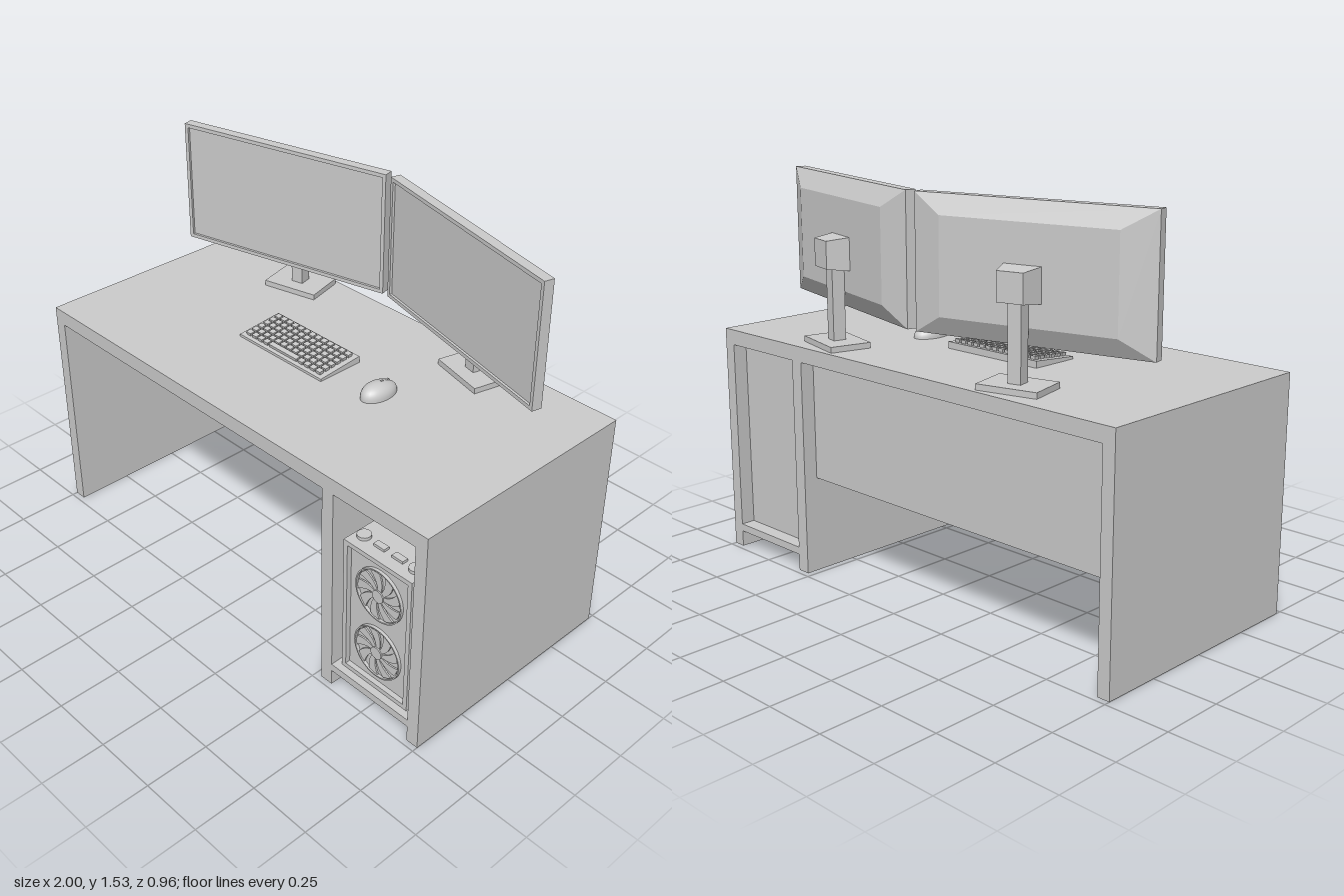
import * as THREE from 'three';

const material = new THREE.MeshStandardMaterial({ color: 0xcccccc, side: THREE.DoubleSide });

function add(parent, name, geometry, x = 0, y = 0, z = 0) {
  const mesh = new THREE.Mesh(geometry, material);
  mesh.name = name;
  mesh.position.set(x, y, z);
  parent.add(mesh);
  return mesh;
}

function group(parent, name, x = 0, y = 0, z = 0) {
  const g = new THREE.Group();
  g.name = name;
  g.position.set(x, y, z);
  parent.add(g);
  return g;
}

const box = (w, h, d) => new THREE.BoxGeometry(w, h, d);
const outline = (points) => points.map(([x, y]) => new THREE.Vector2(x, y));
const rect = (w, h) => outline([[-w / 2, -h / 2], [w / 2, -h / 2], [w / 2, h / 2], [-w / 2, h / 2]]);
const extrude = (shape, depth) => new THREE.ExtrudeGeometry(shape, { depth, bevelEnabled: false, curveSegments: 6 });

// Rectangular frame, from z = 0 forward
function frame(w, h, border, depth) {
  const shape = new THREE.Shape(rect(w, h));
  shape.holes.push(new THREE.Path(rect(w - 2 * border, h - 2 * border)));
  return extrude(shape, depth);
}

// Box whose rear face is smaller than its front face
function taperedBox(w, h, d, rearW, rearH) {
  const geo = box(w, h, d);
  const p = geo.attributes.position;
  for (let i = 0; i < p.count; i++) {
    if (p.getZ(i) < 0) p.setXY(i, p.getX(i) * rearW / w, p.getY(i) * rearH / h);
  }
  geo.computeVertexNormals();
  return geo;
}

function buildDesk(parent) {
  const desk = group(parent, 'desk');
  // Top, legs and cabinet shelf share one front outline
  const shape = new THREE.Shape(outline([
    [-1, 0], [-0.95, 0], [-0.95, 0.85], [0.525, 0.85], [0.525, 0], [0.578, 0],
    [0.578, 0.065], [0.95, 0.065], [0.95, 0], [1, 0], [1, 0.91], [-1, 0.91],
  ]));
  shape.holes.push(new THREE.Path(outline([[0.578, 0.095], [0.95, 0.095], [0.95, 0.85], [0.578, 0.85]])));
  add(desk, 'deskFrame', extrude(shape, 0.956), 0, 0, -0.478);
  add(desk, 'modestyPanel', box(1.475, 0.47, 0.03), -0.2125, 0.615, -0.405);
  add(desk, 'cabinetBack', box(0.372, 0.755, 0.03), 0.764, 0.4725, -0.405);
}

function buildMonitor(parent, name, x, side) {
  const monitor = group(parent, name, x, 0, -0.25);
  monitor.rotation.y = -side * 0.245;
  const w = 0.912, h = 0.49, y = 1.29, standX = -side * 0.013, standZ = -0.104;
  add(monitor, 'bezel', frame(w, h, 0.015, 0.01), 0, y, -0.01);
  add(monitor, 'screenHousing', box(w, h, 0.03), 0, y, -0.025);
  add(monitor, 'rearCover', taperedBox(w, h, 0.038, w - 0.24, h - 0.14), 0, y, -0.059);
  add(monitor, 'mount', taperedBox(0.145, 0.125, 0.085, 0.1, 0.105), standX, 1.262, -0.1195);
  add(monitor, 'standPole', box(0.05, 0.29, 0.05), standX, 1.07, standZ);
  add(monitor, 'standBase', box(0.233, 0.022, 0.163), standX, 0.921, standZ);
}

function buildKeyboard(parent) {
  const keyboard = group(parent, 'keyboard', -0.107, 0.91, -0.003);
  // Wedge body, taller at the rear
  const side = new THREE.Shape(outline([[-0.098, 0], [0.098, 0], [0.098, 0.026], [-0.098, 0.01]]));
  const body = extrude(side, 0.446).translate(0, 0, -0.223).rotateY(Math.PI / 2);
  add(keyboard, 'keyboardBody', body);
  const keys = group(keyboard, 'keys', 0, 0.018, 0);
  keys.rotation.x = Math.atan(0.016 / 0.196);
  const pitchX = 0.0318, pitchZ = 0.029;
  for (let row = 0; row < 6; row++) {
    for (let col = 0; col < 13; col++) {
      const spaceRow = row === 5;
      if (spaceRow && col > 3 && col < 9) continue;
      add(keys, 'key', taperedKey(0.025), (col - 6) * pitchX, 0.006, (row - 2.5) * pitchZ);
    }
  }
  add(keys, 'spaceBar', taperedKey(0.152), 0, 0.006, 2.5 * pitchZ);
}

// Keycap narrowing towards its top
function taperedKey(width) {
  return taperedBox(width, 0.022, 0.014, width - 0.005, 0.018).rotateX(Math.PI / 2).rotateZ(Math.PI);
}

function buildMouse(parent) {
  const mouse = group(parent, 'mouse', 0.315, 0.91, 0);
  // Domed shell, highest towards the palm
  const shell = new THREE.SphereGeometry(1, 28, 14, 0, Math.PI * 2, 0, Math.PI / 2);
  const p = shell.attributes.position;
  for (let i = 0; i < p.count; i++) {
    const px = p.getX(i), py = p.getY(i), pz = p.getZ(i);
    p.setXYZ(i, px * 0.05, Math.pow(py, 0.8) * 0.05 * (1 + 0.15 * pz), pz * 0.08);
  }
  shell.computeVertexNormals();
  add(mouse, 'mouseShell', shell);
  add(mouse, 'scrollWheel', new THREE.CylinderGeometry(0.012, 0.012, 0.007, 16).rotateZ(Math.PI / 2), 0, 0.034, -0.043);
  add(mouse, 'mouseButton', box(0.006, 0.004, 0.012), 0, 0.048, -0.015);
}

function buildFan(parent, y) {
  const fan = group(parent, 'fan', 0, y, 0.37);
  const ring = new THREE.Shape().absarc(0, 0, 0.107, 0, Math.PI * 2);
  ring.holes.push(new THREE.Path().absarc(0, 0, 0.102, 0, Math.PI * 2));
  add(fan, 'fanRing', new THREE.ExtrudeGeometry(ring, { depth: 0.012, bevelEnabled: false, curveSegments: 32 }));
  add(fan, 'fanHub', new THREE.CylinderGeometry(0.025, 0.025, 0.014, 24).rotateX(Math.PI / 2), 0, 0, 0.007);
  // Swept blades
  const blade = new THREE.Shape();
  blade.moveTo(0.02, -0.007);
  blade.quadraticCurveTo(0.06, -0.012, 0.096, 0.015);
  blade.quadraticCurveTo(0.093, 0.04, 0.082, 0.055);
  blade.quadraticCurveTo(0.055, 0.015, 0.02, 0.007);
  const geometry = extrude(blade, 0.006);
  for (let i = 0; i < 9; i++) {
    add(fan, 'fanBlade', geometry, 0, 0, 0.003).rotation.z = i * Math.PI * 2 / 9;
  }
}

function buildTower(parent) {
  const tower = group(parent, 'computerTower', 0.76, 0.095, 0.06);
  const w = 0.315, h = 0.57;
  add(tower, 'towerCase', box(w, h, 0.74), 0, h / 2, 0);
  add(tower, 'frontFrame', frame(w, h, 0.018, 0.02), 0, h / 2, 0.37);
  buildFan(tower, 0.155);
  buildFan(tower, 0.41);
  // Controls along the front of the lid
  for (const x of [-0.12, 0.12]) {
    add(tower, 'powerButton', new THREE.CylinderGeometry(0.026, 0.026, 0.012, 20), x, h + 0.006, 0.33);
  }
  for (const x of [-0.04, 0.045]) {
    add(tower, 'portBlock', box(0.05, 0.01, 0.025), x, h + 0.005, 0.33);
  }
}

export function createModel() {
  const model = new THREE.Group();
  model.name = 'computerDesk';
  buildDesk(model);
  buildMonitor(model, 'rightMonitor', -0.465, -1);
  buildMonitor(model, 'leftMonitor', 0.445, 1);
  buildKeyboard(model);
  buildMouse(model);
  buildTower(model);
  return model;
}
